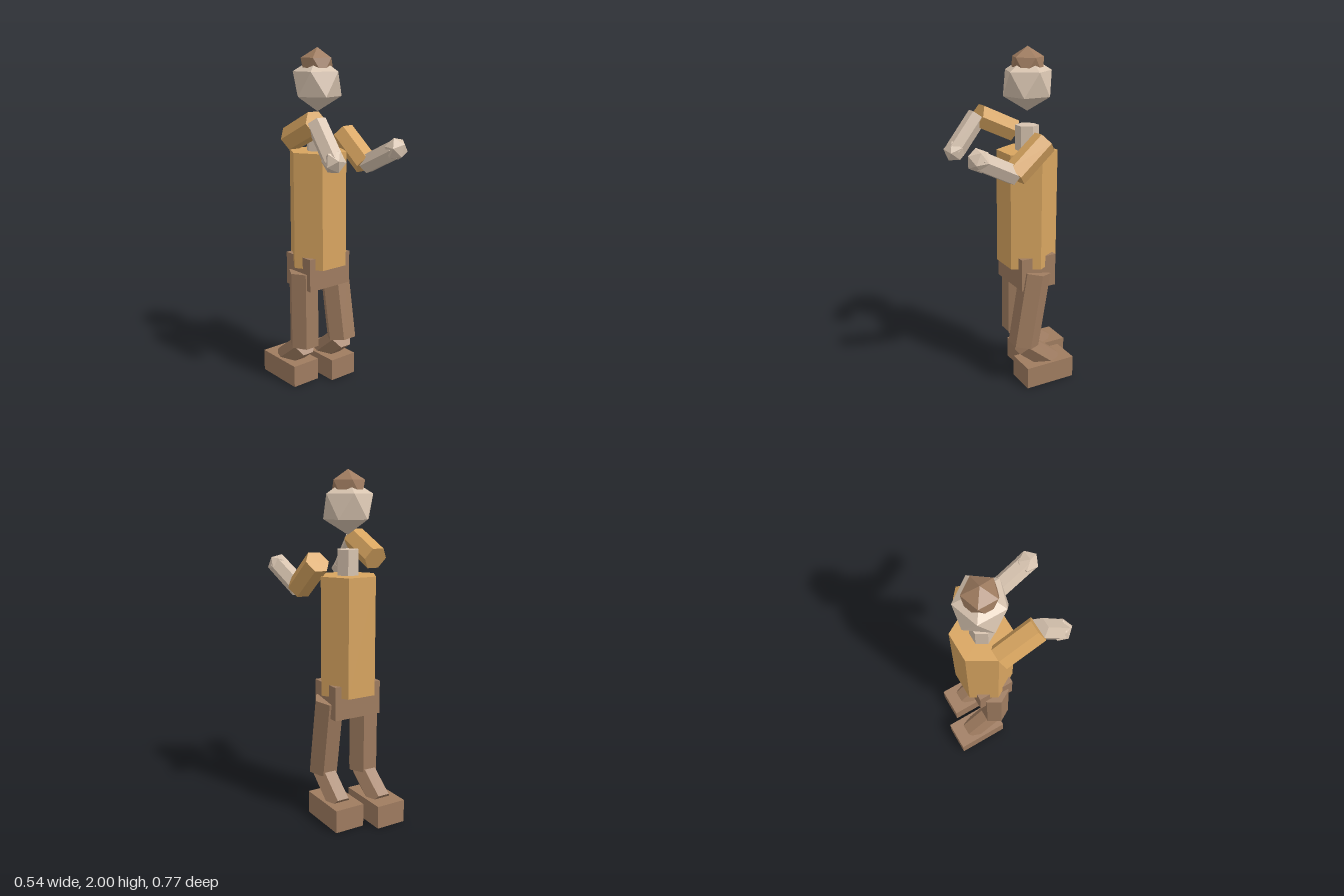
import * as THREE from 'three';

const UP = new THREE.Vector3(0, 1, 0);

export function createModel() {
  const model = new THREE.Group();
  model.name = 'figure';

  const flat = (name, color) => {
    const m = new THREE.MeshStandardMaterial({ color, flatShading: true });
    m.name = name;
    return m;
  };
  const ochre = flat('ochre', 0xd8a560);
  const skin = flat('paleSkin', 0xd8c4b0);
  const brown = flat('brown', 0x9f7c60);

  const add = (name, geometry, material, pos) => {
    const mesh = new THREE.Mesh(geometry, material);
    mesh.name = name;
    mesh.position.set(...pos);
    model.add(mesh);
    return mesh;
  };

  // Six-sided bar between two points, corners to the sides
  const bar = (name, material, radius, from, to) => {
    const a = new THREE.Vector3(...from), b = new THREE.Vector3(...to);
    const geometry = new THREE.CylinderGeometry(radius, radius, a.distanceTo(b), 6).rotateY(Math.PI / 6);
    const mesh = add(name, geometry, material, a.clone().add(b).multiplyScalar(0.5).toArray());
    mesh.quaternion.setFromUnitVectors(UP, a.sub(b).normalize());
    return mesh;
  };

  // Twenty-sided ball standing on one corner
  const ball = (name, material, radius, pos) =>
    add(name, new THREE.IcosahedronGeometry(radius, 0).rotateZ(-0.5536), material, pos);

  const box = (name, material, size, pos) => add(name, new THREE.BoxGeometry(...size), material, pos);

  // Head, hair, neck and trunk
  const cx = -0.013, cz = -0.092;
  ball('hair', brown, 0.104, [cx, 1.896, cz]);
  ball('head', skin, 0.154, [cx, 1.8, cz]);
  bar('neck', skin, 0.067, [cx, 1.567, cz], [cx, 1.38, cz]);
  bar('torso', ochre, 0.175, [cx, 1.424, cz], [cx, 0.747, cz]);
  box('pelvis', brown, [0.3, 0.195, 0.225], [cx, 0.718, cz]);

  // Arms: one elbow raised, the other lowered
  const arms = [
    { side: 'left', shoulder: [0.182, 1.507, -0.093], elbow: [0.192, 1.345, 0.1], hand: [0.21, 1.455, 0.32] },
    { side: 'right', shoulder: [-0.198, 1.507, -0.095], elbow: [-0.198, 1.61, 0.128], hand: [-0.2, 1.42, 0.273] },
  ];
  for (const { side, shoulder, elbow, hand } of arms) {
    bar(side + 'UpperArm', ochre, 0.0725, shoulder, elbow);
    const forearm = bar(side + 'Forearm', skin, 0.058, elbow, hand);
    ball(side + 'Hand', skin, 0.067, hand).quaternion.copy(forearm.quaternion);
  }

  // Legs: bent knees, feet staggered
  const legs = [
    { side: 'left', x: 0.104, hipZ: -0.087, kneeY: 0.262, kneeZ: -0.01, footZ: -0.151 },
    { side: 'right', x: -0.127, hipZ: -0.088, kneeY: 0.253, kneeZ: -0.085, footZ: -0.228 },
  ];
  for (const { side, x, hipZ, kneeY, kneeZ, footZ } of legs) {
    bar(side + 'Thigh', brown, 0.091, [x, 0.718, hipZ], [x, kneeY, kneeZ]);
    bar(side + 'Shin', brown, 0.072, [x, kneeY - 0.003, kneeZ], [x, 0.105, kneeZ - 0.187]);
    box(side + 'Foot', brown, [0.181, 0.133, 0.318], [x, 0.0665, footZ]);
  }

  return model;
}
